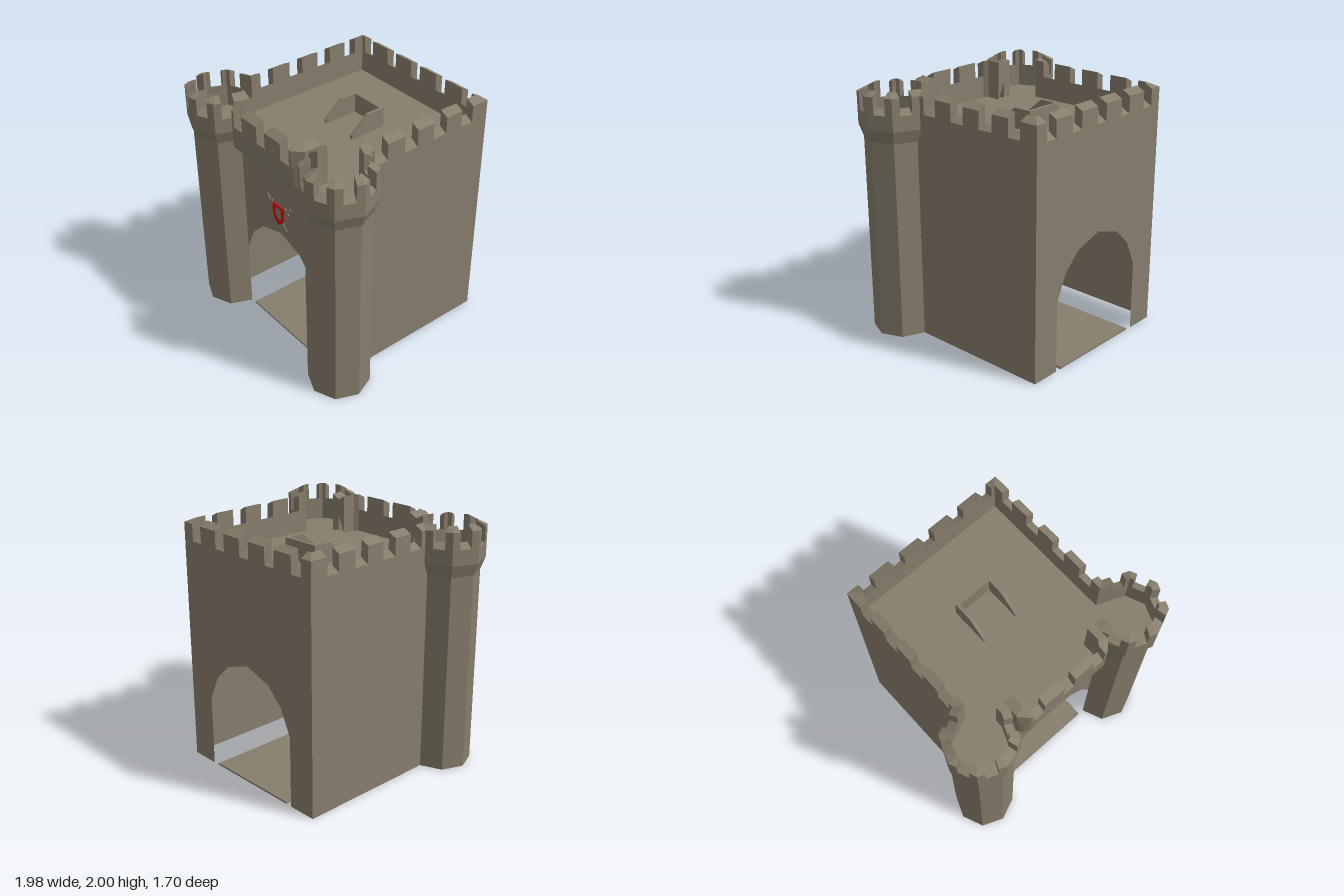
import * as THREE from 'three';

const DECK = 1.69, SHELL = 1.71, T = 0.068;

export function createModel() {
  const group = new THREE.Group();
  const material = (name, color) => {
    const m = new THREE.MeshStandardMaterial({ color, side: THREE.DoubleSide });
    m.name = name;
    return m;
  };
  const stone = material('stone', 0x867d6c);
  const red = material('shieldRed', 0xe00408);
  const steel = material('steel', 0x7c7b70);

  const add = (name, geometry, mat, x = 0, y = 0, z = 0) => {
    const mesh = new THREE.Mesh(geometry, mat);
    mesh.name = name;
    mesh.position.set(x, y, z);
    group.add(mesh);
    return mesh;
  };
  // flat-shaded geometry from a list of four-cornered faces
  const quads = (faces) => {
    const p = [];
    for (const [a, b, c, d] of faces) p.push(...a, ...b, ...c, ...a, ...c, ...d);
    const g = new THREE.BufferGeometry();
    g.setAttribute('position', new THREE.Float32BufferAttribute(p, 3));
    g.computeVertexNormals();
    return g;
  };
  const shape = (pts) => new THREE.Shape(pts.map(([x, y]) => new THREE.Vector2(x, y)));
  const flat = (pts) => new THREE.ShapeGeometry(shape(pts));
  // horizontal plate from [x, z] corners
  const plate = (pts) => flat(pts.map(([x, z]) => [x, -z])).rotateX(-Math.PI / 2);
  const mirrored = (pts) => pts.map(([x, z]) => [-x, z]).reverse();
  // tower corners from the gate, round the outside, to the side wall
  const towerRing = (r) => Array.from({ length: 7 }, (_, i) => {
    const a = -Math.PI / 2 + i * Math.PI / 4;
    return [0.71 + r * Math.sin(a), 0.57 + r * Math.cos(a)];
  });
  const lower = towerRing(0.243), upper = towerRing(0.28);

  // corner towers with flared heads, and side walls
  for (const s of [1, -1]) {
    const at = ([x, z], y) => [s * x, y, z];
    const shaft = [], flare = [];
    for (let i = 0; i < 6; i++) {
      const [a, b, c, d] = [lower[i], lower[i + 1], upper[i + 1], upper[i]];
      shaft.push([at(a, 0), at(b, 0), at(b, 1.61), at(a, 1.61)]);
      flare.push([at(a, 1.61), at(b, 1.61), at(c, SHELL), at(d, SHELL)]);
    }
    const side = s > 0 ? 'left' : 'right';
    add(side + 'TowerShaft', quads(shaft), stone);
    add(side + 'TowerFlare', quads(flare), stone);
    add(side + 'Wall', quads([
      [at([0.71, 0.57], 0), at([0.71, -0.85], 0), at([0.71, -0.85], DECK), at([0.71, 0.57], DECK)],
      [at([0.71, 0.29], DECK), at([0.71, -0.85], DECK), at([0.71, -0.85], SHELL), at([0.71, 0.29], SHELL)],
    ]), stone);
  }

  // front and back walls with faceted arches
  const arch = [[-0.47, 0.575], [-0.375, 0.782], [-0.235, 0.918], [0, 0.992],
    [0.235, 0.918], [0.375, 0.782], [0.47, 0.575]];
  const archedWall = (top) => flat([[-0.71, 0], [-0.47, 0], ...arch, [0.47, 0], [0.71, 0],
    [0.71, top], [-0.71, top]]);
  add('frontWall', archedWall(DECK), stone, 0, 0, 0.57);
  add('backWall', archedWall(SHELL), stone, 0, 0, -0.85);

  // roof deck
  const deckHalf = [[0.36, 0.68], [0.42, 0.63], [0.43, 0.57], ...lower, [0.71, -0.85]];
  add('roofDeck', plate([...deckHalf, ...mirrored(deckHalf)]), stone, 0, DECK, 0);

  // battlements: an offset path, cut into merlons and sloping sills
  const battlement = (name, path, base, notches) => {
    const n = path.length - 1, v = path.map((p) => new THREE.Vector2(...p));
    const dirs = [], norms = [];
    for (let i = 0; i < n; i++) {
      const d = v[i + 1].clone().sub(v[i]).normalize();
      dirs.push(d);
      norms.push(new THREE.Vector2(d.y, -d.x));
    }
    const inner = v.map((p, i) => {
      const a = norms[Math.max(i - 1, 0)], b = norms[Math.min(i, n - 1)];
      return p.clone().addScaledVector(a.clone().add(b), T / (1 + a.dot(b)));
    });
    const faces = [];
    for (let i = 0; i < n; i++) {
      const len = v[i].distanceTo(v[i + 1]);
      const cuts = [0, ...notches(i, len).flat(), len];
      const pair = (k) => {
        if (k === 0) return [v[i], inner[i]];
        if (k === cuts.length - 1) return [v[i + 1], inner[i + 1]];
        const o = v[i].clone().addScaledVector(dirs[i], cuts[k]);
        return [o, o.clone().addScaledVector(norms[i], T)];
      };
      for (let k = 0; k < cuts.length - 1; k++) {
        const [yo, yi] = k % 2 ? [1.83, 1.87] : [1.965, 2];
        const ring = ([o, q]) => [[o.x, base, o.y], [o.x, yo, o.y], [q.x, yi, q.y], [q.x, DECK, q.y]];
        const a = ring(pair(k)), b = ring(pair(k + 1));
        for (let e = 0; e < 3; e++) faces.push([a[e], b[e], b[e + 1], a[e + 1]]);
        faces.push(a, [...b].reverse());
      }
    }
    add(name, quads(faces), stone);
  };
  // main run: left tower, left wall, back wall, right wall, right tower
  const half = [[0.43, 0.5], ...upper, [0.71, -0.85]];
  const wallNotches = [[0.25, 0.13], [-0.03, -0.155], [-0.31, -0.435], [-0.59, -0.70]];
  const fiveAcross = [-0.56, -0.28, 0, 0.28, 0.56].map((c) => [0.71 + c - 0.05, 0.71 + c + 0.05]);
  battlement('mainBattlements', [...half, ...mirrored(half)], SHELL, (i, len) => {
    if (i === 0 || i === 16) return [];
    if (i === 7) return wallNotches.map(([a, b]) => [0.29 - a, 0.29 - b]);
    if (i === 9) return wallNotches.map(([a, b]) => [0.85 + b, 0.85 + a]).reverse();
    if (i === 8) return fiveAcross;
    return [[len * 0.28, len * 0.72]];
  });

  // projecting gallery above the gate
  const gallery = [[-0.43, 0.5], [-0.43, 0.64], [-0.36, 0.71], [0.36, 0.71], [0.43, 0.64], [0.43, 0.5]];
  battlement('galleryBattlements', gallery, 1.83,
    (i) => (i === 2 ? [-0.285, 0, 0.285].map((c) => [0.36 + c - 0.05, 0.36 + c + 0.05]) : []));
  // its smooth rounded face
  const cols = [[-0.43, 0.5], [-0.43, 0.64], [-0.395, 0.675], [-0.36, 0.71], [-0.31, 0.71],
    [0.31, 0.71], [0.36, 0.71], [0.395, 0.675], [0.43, 0.64], [0.43, 0.5]];
  const rows = [[1.61, 0.645], [1.622, 0.68], [1.645, 0.702], [1.68, 0.71], [1.83, 0.71]];
  const pos = [], index = [];
  rows.forEach(([y, zMax], r) => cols.forEach(([x, z], c) => {
    pos.push(x, y, Math.min(z, zMax));
    if (r && c) {
      const d = r * cols.length + c, b = d - cols.length;
      index.push(b - 1, b, d, b - 1, d, d - 1);
    }
  }));
  const belly = new THREE.BufferGeometry();
  belly.setAttribute('position', new THREE.Float32BufferAttribute(pos, 3));
  belly.setIndex(index);
  belly.computeVertexNormals();
  add('galleryFace', belly, stone);
  add('galleryUnderside', plate([[-0.43, 0.57], [-0.43, 0.645], [0.43, 0.645], [0.43, 0.57]]),
    stone, 0, 1.61, 0);

  // roof hatch: low back wall and two sloping cheeks
  add('hatchBack', new THREE.BoxGeometry(0.33, 0.16, 0.025), stone, 0, DECK + 0.08, -0.298);
  for (const x of [-0.165, 0.14]) {
    const cheek = new THREE.ExtrudeGeometry(
      shape([[0, 0], [0.31, 0], [0.31, 0.16], [0.155, 0.16], [0, 0.03]]), { depth: 0.025, bevelEnabled: false });
    cheek.rotateY(Math.PI / 2);
    add('hatchCheek', cheek, stone, x, DECK, 0);
  }

  // floor slab with a slightly narrower top
  const slab = new THREE.BoxGeometry(0.84, 0.015, 1.42);
  const sp = slab.attributes.position;
  for (let i = 0; i < sp.count; i++) if (sp.getY(i) > 0) sp.setX(i, sp.getX(i) * 0.985);
  slab.computeVertexNormals();
  add('floorSlab', slab, stone, 0, 0.0075, -0.14);

  // wall ornament: crossed swords behind a shield
  for (const s of [1, -1]) {
    const sword = new THREE.Group();
    sword.name = 'sword';
    const bar = (name, w, h, y) => {
      const m = new THREE.Mesh(new THREE.BoxGeometry(w, h, 0.009), steel);
      m.name = name;
      m.position.y = y;
      sword.add(m);
    };
    bar('blade', 0.016, 0.27, -0.03);
    bar('guard', 0.066, 0.012, 0.105);
    bar('grip', 0.013, 0.05, 0.13);
    bar('pommel', 0.022, 0.016, 0.158);
    sword.position.set(s * 0.027, 1.17, 0.575);
    sword.rotation.z = -s * 0.78;
    group.add(sword);
  }
  const shieldShape = shape([[-0.07, 0.085], [0.07, 0.085], [0.07, 0], [0.05, -0.055],
    [0, -0.095], [-0.05, -0.055], [-0.07, 0]]);
  add('shield', new THREE.ExtrudeGeometry(shieldShape, { depth: 0.009, bevelEnabled: false }),
    red, 0, 1.17, 0.576);
  add('shieldPatch', flat([[-0.03, 0.05], [0, 0.068], [0.035, 0.06], [0.04, 0], [0.03, -0.035],
    [0.005, -0.04], [-0.02, -0.02], [-0.036, 0.01]]), steel, 0, 1.17, 0.587);

  return group;
}
